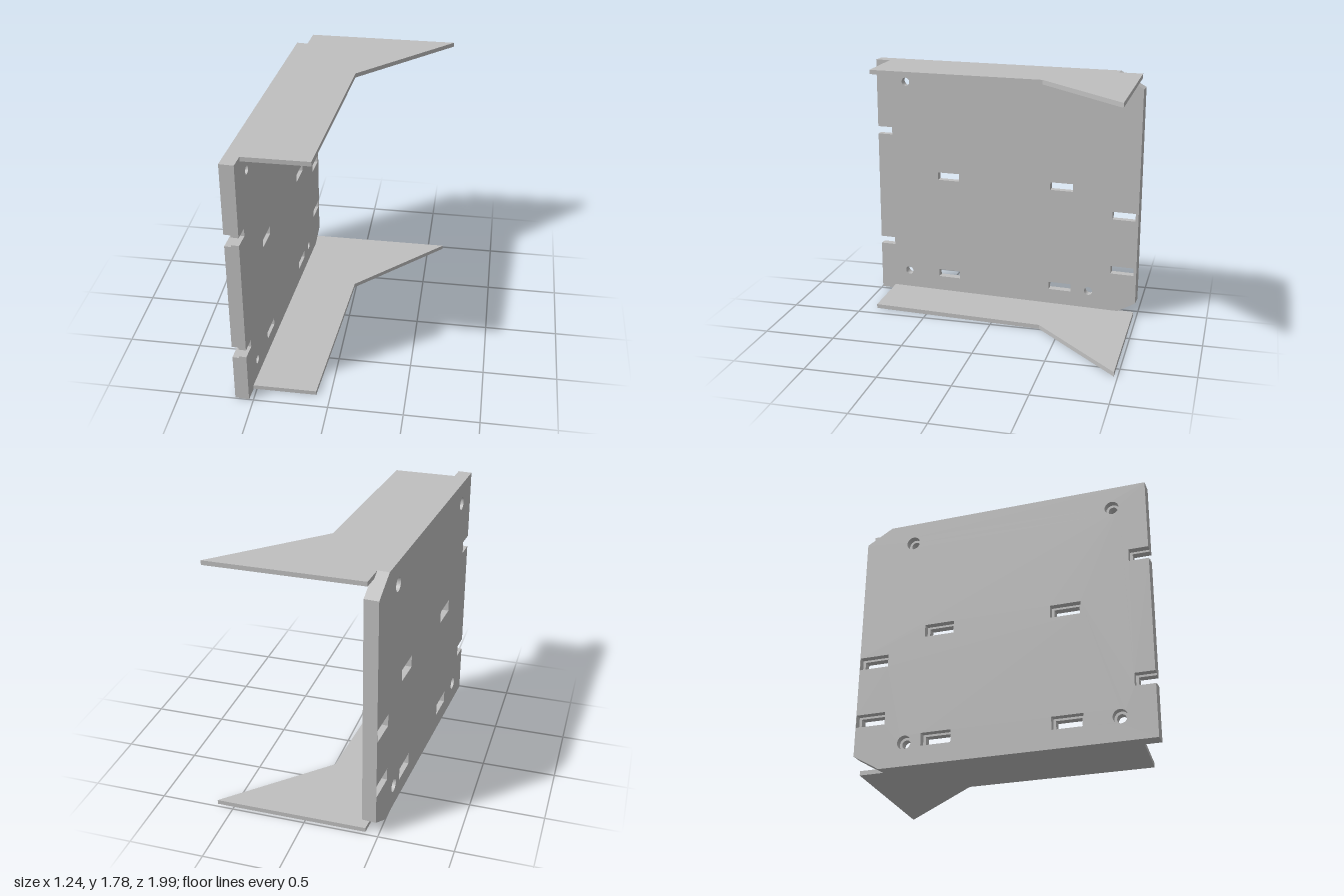
import * as THREE from 'three';

const HEIGHT = 1.785, HALF = 0.995, TILT = 0.07;
const INNER = 0.05, OUTER = 0.045;      // thickness of the two plate layers
const SHEET = 0.03;                     // thickness of the flanges

// Slots as [centre along plate, centre height]; all share one size
const SLOT_LENGTH = 0.168, SLOT_HEIGHT = 0.057;
const slots = [
  [0.438, 0.935], [-0.428, 0.935], [0.438, 0.168], [-0.428, 0.168],
  [-0.89, 0.757], [-0.89, 0.345],
];
const notchHeights = [0.388, 1.255];
const screwHoles = [[0.767, 0.16], [0.767, 1.632], [-0.645, 0.16], [-0.645, 1.632]];

function rectPath(cx, cy, w, h) {
  const p = new THREE.Path();
  p.moveTo(cx - w / 2, cy - h / 2);
  p.lineTo(cx - w / 2, cy + h / 2);
  p.lineTo(cx + w / 2, cy + h / 2);
  p.lineTo(cx + w / 2, cy - h / 2);
  p.closePath();
  return p;
}

// One layer of the back plate; grow widens every opening for the recessed side
function plateLayer(depth, grow, radius) {
  const s = new THREE.Shape();
  s.moveTo(-0.815, 0);
  s.lineTo(HALF, 0);
  const notchEnd = 0.883 - grow;
  for (const y of notchHeights) {
    const h = 0.028 + grow * 0.8;
    s.lineTo(HALF, y - h);
    s.lineTo(notchEnd, y - h);
    s.lineTo(notchEnd, y + h);
    s.lineTo(HALF, y + h);
  }
  s.lineTo(HALF, HEIGHT);
  s.lineTo(-0.815, HEIGHT);
  s.lineTo(-HALF, HEIGHT - 0.105);
  s.lineTo(-HALF, 0.105);
  s.closePath();
  for (const [x, y] of slots) {
    s.holes.push(rectPath(x, y, SLOT_LENGTH + 2 * grow, SLOT_HEIGHT + 1.6 * grow));
  }
  for (const [x, y] of screwHoles) {
    const hole = new THREE.Path();
    hole.absarc(x, y, radius, 0, Math.PI * 2, true);
    s.holes.push(hole);
  }
  return new THREE.ExtrudeGeometry(s, { depth, bevelEnabled: false, curveSegments: 16 });
}

export function createModel() {
  const model = new THREE.Group();
  model.name = 'mountingBracket';
  const grey = new THREE.MeshStandardMaterial({ color: 0xbfbfbf });
  grey.name = 'plain grey';

  // Back plate, slightly turned about the vertical
  const plate = new THREE.Group();
  plate.name = 'backPlate';
  plate.position.set(-0.46, 0, 0.005);
  plate.rotation.y = -(Math.PI / 2 + TILT);
  const inner = new THREE.Mesh(plateLayer(INNER, 0, 0.03), grey);
  inner.name = 'plateInnerLayer';
  const outer = new THREE.Mesh(plateLayer(OUTER, 0.018, 0.047), grey);
  outer.name = 'plateRecessedLayer';
  outer.position.z = INNER;
  plate.add(inner, outer);
  model.add(plate);

  // Matching flanges at the bottom and top, given as [x, z]
  const outline = [[-0.41, -0.975], [-0.54, 0.89], [-0.095, 0.89], [-0.01, -0.355], [0.617, -0.975]];
  const shape = new THREE.Shape(outline.map(([x, z]) => new THREE.Vector2(x, -z)));
  const flangeGeometry = new THREE.ExtrudeGeometry(shape, { depth: SHEET, bevelEnabled: false });
  flangeGeometry.rotateX(-Math.PI / 2);
  for (const [name, y] of [['bottomFlange', 0], ['topFlange', HEIGHT - SHEET]]) {
    const flange = new THREE.Mesh(flangeGeometry, grey);
    flange.name = name;
    flange.position.y = y;
    model.add(flange);
  }
  return model;
}
